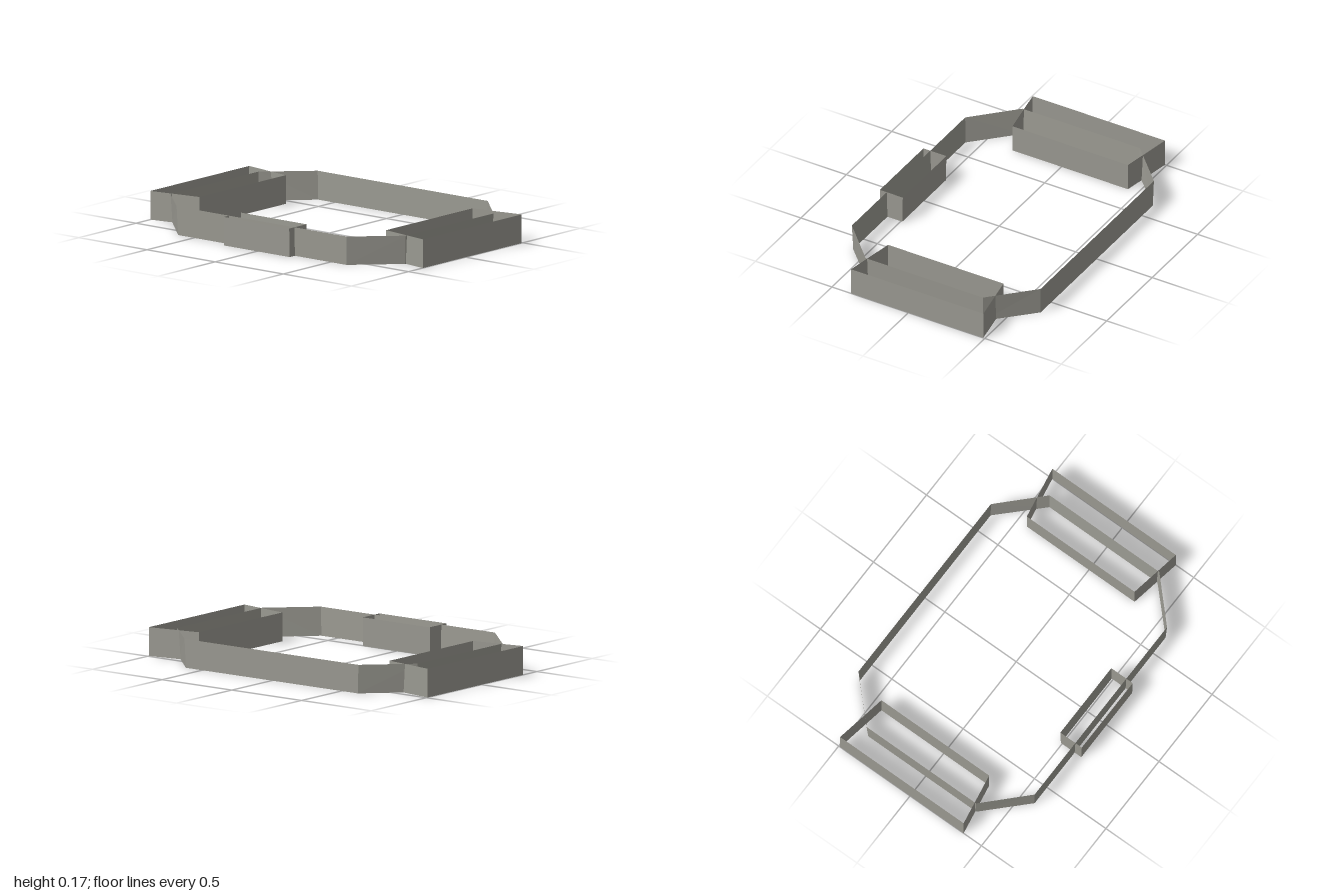
import * as THREE from 'three';

const H = 0.165;
const grey = new THREE.MeshStandardMaterial({ color: 0x9a9991, side: THREE.DoubleSide });
grey.name = 'stoneGrey';

// Closed, open-ended wall between a bottom and a top outline of [x, z] points
function wall(name, bottom, top = bottom) {
  const pos = [];
  bottom.forEach(([ax, az], i) => {
    const j = (i + 1) % bottom.length;
    const [bx, bz] = bottom[j], [cx, cz] = top[j], [dx, dz] = top[i];
    pos.push(ax, 0, az, bx, 0, bz, cx, H, cz, ax, 0, az, cx, H, cz, dx, H, dz);
  });
  const geo = new THREE.BufferGeometry();
  geo.setAttribute('position', new THREE.Float32BufferAttribute(pos, 3));
  geo.computeVertexNormals();
  const mesh = new THREE.Mesh(geo, grey);
  mesh.name = name;
  return mesh;
}

// Rectangle with cut corners, listed counter-clockwise from above
function octagon(x, xCut, front, frontCut, back, backCut) {
  return [
    [-xCut, front], [xCut, front], [x, frontCut], [x, backCut],
    [xCut, back], [-xCut, back], [-x, backCut], [-x, frontCut],
  ];
}

export function createModel() {
  const group = new THREE.Group();
  group.name = 'perimeterWalls';

  // Main eight-sided band, flaring slightly towards the top
  group.add(wall('mainBand',
    octagon(0.854, 0.617, 0.588, 0.355, -0.638, -0.402),
    octagon(0.863, 0.624, 0.593, 0.361, -0.641, -0.407)));

  // Tapered side bays straddling the band
  for (const s of [1, -1]) {
    const bay = [[0.685, 0.32], [1, 0.375], [1, -0.49], [0.685, -0.435]].map(([x, z]) => [s * x, z]);
    if (s < 0) bay.reverse();
    group.add(wall(s > 0 ? 'leftBay' : 'rightBay', bay));
  }

  // Small front bay
  group.add(wall('frontBay',
    [[-0.24, 0.634], [0.24, 0.634], [0.24, 0.491], [-0.24, 0.491]],
    [[-0.24, 0.638], [0.24, 0.638], [0.24, 0.488], [-0.24, 0.488]]));

  return group;
}
